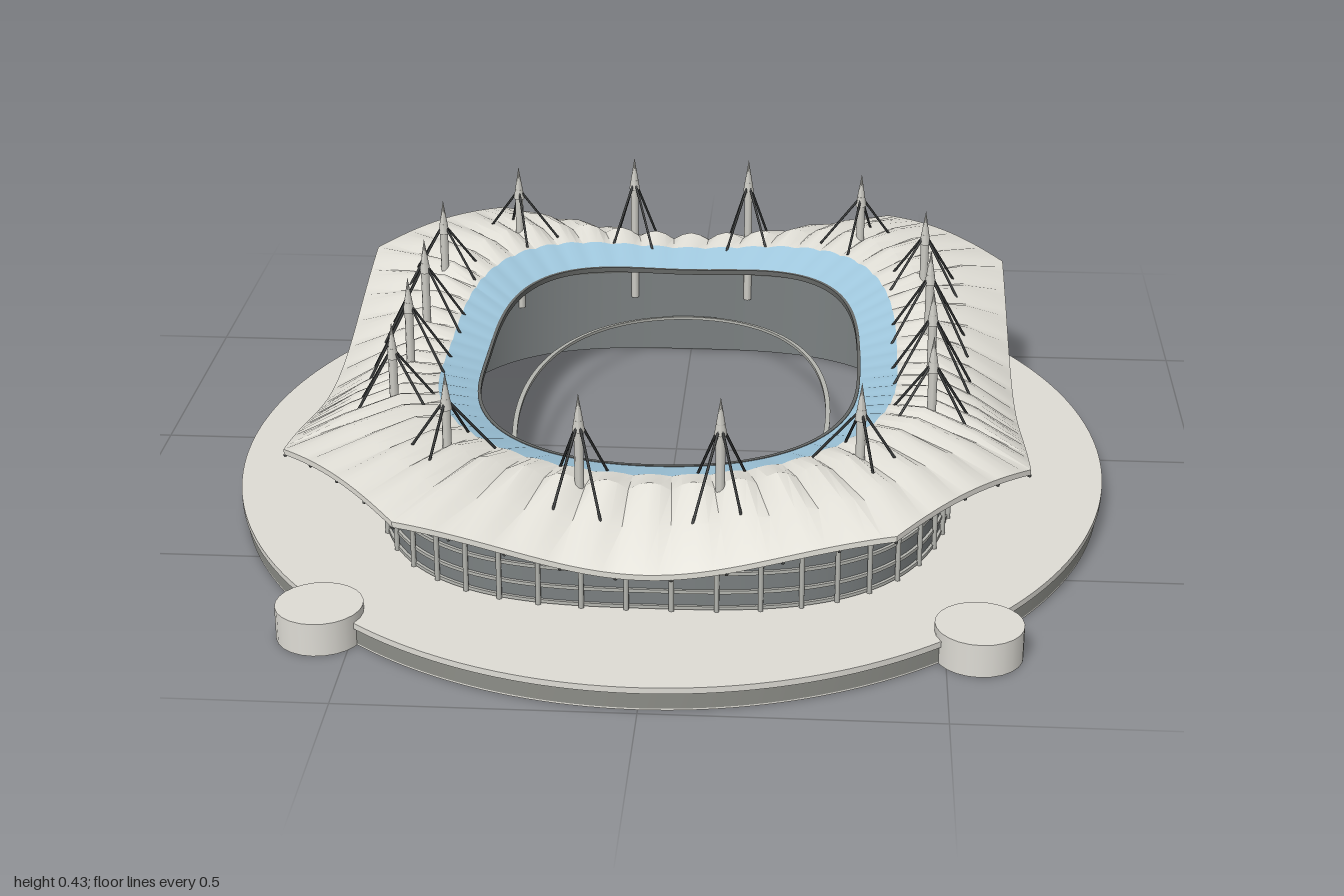
import * as THREE from 'three';
import { toCreasedNormals } from 'three/addons/utils/BufferGeometryUtils.js';

const mat = (name, color, double = false) => {
  const m = new THREE.MeshStandardMaterial({ color });
  m.name = name;
  if (double) m.side = THREE.DoubleSide;
  return m;
};

export function createModel() {
  const M = {
    concrete: mat('pale concrete', 0xdedcd5),
    plinth: mat('plinth grey', 0x8c8d87),
    roof: mat('roof membrane', 0xe0ded6, true),
    glass: mat('blue glazing', 0xa0c8de, true),
    wall: mat('facade panel', 0x7b8081, true),
    trim: mat('facade trim', 0xb6b7b1),
    dark: mat('dark steel', 0x343636),
    rim: mat('rim grey', 0x666866, true),
    mast: mat('mast pale', 0xcdccc5),
  };
  const root = new THREE.Group();
  root.name = 'stadium';
  const body = new THREE.Group();
  body.name = 'stadiumBody';
  body.position.z = 0.105;
  root.add(body);

  const add = (name, geo, material, parent = body) => {
    const mesh = new THREE.Mesh(geo, material);
    mesh.name = name;
    parent.add(mesh);
    return mesh;
  };
  const rod = (name, a, b, r, material, parent = body, sides = 5) => {
    const dir = b.clone().sub(a);
    const mesh = add(name, new THREE.CylinderGeometry(r, r, dir.length(), sides), material, parent);
    mesh.position.copy(a).addScaledVector(dir, 0.5);
    mesh.quaternion.setFromUnitVectors(new THREE.Vector3(0, 1, 0), dir.normalize());
    return mesh;
  };

  // Chamfered roof outline, divided into bays of four strips
  const corners = [[0.64, -0.49], [0.64, 0.49], [0.41, 0.75], [-0.41, 0.75],
    [-0.64, 0.49], [-0.64, -0.49], [-0.41, -0.75], [0.41, -0.75]];
  const bays = [11, 4, 9, 4, 11, 4, 9, 4];
  const SUB = 4;
  const outline = [];
  corners.forEach(([x, z], i) => {
    const [x2, z2] = corners[(i + 1) % 8];
    const n = bays[i] * SUB;
    for (let j = 0; j < n; j++) outline.push([x + (x2 - x) * j / n, z + (z2 - z) * j / n]);
  });

  // Rounded ring (superellipse) along the same rays as the outline
  const oval = (a, b, n, y) => outline.map(([x, z]) => {
    const s = Math.pow(Math.pow(Math.abs(x) / a, n) + Math.pow(Math.abs(z) / b, n), -1 / n);
    return new THREE.Vector3(x * s, y, z * s);
  });

  // Skin between successive rings, smooth except at sharp folds
  const loft = (rings, closed = false) => {
    const pos = [];
    const count = closed ? rings.length : rings.length - 1;
    for (let i = 0; i < count; i++) {
      const a = rings[i], b = rings[(i + 1) % rings.length];
      for (let j = 0; j < a.length; j++) {
        const k = (j + 1) % a.length;
        for (const p of [a[j], b[j], a[k], b[j], b[k], a[k]]) pos.push(p.x, p.y, p.z);
      }
    }
    const g = new THREE.BufferGeometry();
    g.setAttribute('position', new THREE.Float32BufferAttribute(pos, 3));
    return toCreasedNormals(g, 0.45);
  };
  // Closed ring-shaped slab with outer and inner ovals [a, b, n]
  const slab = (o, i, y0, y1) =>
    loft([oval(...o, y0), oval(...o, y1), oval(...i, y1), oval(...i, y0)], true);

  // Base
  const hole = [0.505, 0.61, 3];
  add('baseUnderside', slab([0.803, 0.883, 2], hole, 0, 0.003), M.concrete);
  add('basePlinth', slab([0.803, 0.883, 2], hole, 0.003, 0.034), M.plinth);
  add('baseDeck', slab([0.81, 0.89, 2], hole, 0.034, 0.045), M.concrete);
  for (const sx of [-1, 1]) for (const sz of [-1, 1]) {
    add('cornerPod', new THREE.CylinderGeometry(0.075, 0.075, 0.06, 24), M.concrete)
      .position.set(sx * 0.555, 0.03, sz * 0.67);
  }

  // Entrance platform, open underneath
  add('entranceTop', new THREE.BoxGeometry(0.21, 0.01, 0.24), M.concrete)
    .position.set(0, 0.045, -0.985);
  for (const s of [-1, 1]) {
    add('entranceSide', new THREE.BoxGeometry(0.01, 0.04, 0.24), M.concrete)
      .position.set(s * 0.1, 0.02, -0.985);
  }
  add('entranceEnd', new THREE.BoxGeometry(0.19, 0.04, 0.01), M.concrete)
    .position.set(0, 0.02, -1.1);

  // Facade wall, ledge, bands and mullions
  add('facadeWall', slab([0.52, 0.625, 3], [0.498, 0.603, 3], 0.001, 0.172), M.wall);
  add('facadeLedge', slab([0.56, 0.662, 3], [0.498, 0.603, 3], 0.172, 0.184), M.rim);
  for (const y of [0.05, 0.08, 0.115, 0.15]) {
    add('facadeBand', slab([0.525, 0.63, 3], [0.518, 0.623, 3], y - 0.003, y + 0.003), M.trim);
  }
  const foot = oval(0.526, 0.631, 3, 0.045), head = oval(0.526, 0.631, 3, 0.172);
  for (let k = 0; k < foot.length; k += SUB) {
    rod('facadeMullion', foot[k], head[k], 0.005, M.trim, body, 6);
  }

  // Roof: raised at the corners, dipping along the sides, vaulted in each bay
  const inner = oval(0.42, 0.54, 3, 0);
  const lift = outline.map(([x, z]) => Math.sin(2 * Math.atan2(z / 0.75, x / 0.64)) ** 2);
  const roofRing = (f, y, rise, vault, drop = 0) => outline.map(([x, z], k) => new THREE.Vector3(
    inner[k].x + (x - inner[k].x) * f,
    y + rise * lift[k] + vault * Math.sin(Math.PI * (k % SUB) / SUB) - drop,
    inner[k].z + (z - inner[k].z) * f));
  const profile = [[1, 0.174, 0.102, 0], [0.64, 0.218, 0.068, 0.01],
    [0.26, 0.252, 0.036, 0.015], [0, 0.252, 0.026, 0.004]];
  const upper = profile.map((p) => roofRing(...p));
  const lower = profile.map((p) => roofRing(...p, 0.01));
  add('roofShell', loft([...upper, ...lower.reverse()], true), M.roof);

  // Rafters under the roof valleys
  const under = profile.map((p) => roofRing(...p, 0.012));
  for (let k = 0; k < outline.length; k += SUB) {
    for (let i = 0; i < 3; i++) rod('roofRafter', under[i][k], under[i + 1][k], 0.003, M.rim, body, 4);
  }

  // Glazed inner roof and its rim, rising gently with the corners
  const raised = (a, b, y) => {
    const ring = oval(a, b, 3, y);
    ring.forEach((p, k) => { p.y += 0.015 * lift[k]; });
    return ring;
  };
  add('glassRoof', loft([upper[3], raised(0.35, 0.464, 0.234)]), M.glass);
  add('glassRim', loft([raised(0.352, 0.466, 0.226), raised(0.352, 0.466, 0.236),
    raised(0.346, 0.46, 0.236), raised(0.346, 0.46, 0.226)], true), M.rim);

  // Slim arches inside the bowl, lower towards both ends
  const arch = (a, b, y) => {
    const ring = oval(a, b, 2, y);
    ring.forEach((p) => { p.y += 0.125 - 0.15 * p.z ** 2; });
    return ring;
  };
  add('innerArches', loft([arch(0.298, 0.6, 0), arch(0.298, 0.6, 0.006),
    arch(0.289, 0.591, 0.006), arch(0.289, 0.591, 0)], true), M.trim);

  // Masts with four splayed cables
  const addMast = (x, z, nx, nz, rise) => {
    const g = new THREE.Group();
    g.name = 'roofMast';
    g.position.set(x, 0, z);
    g.rotation.y = Math.atan2(nx, nz);
    body.add(g);
    const top = new THREE.Vector3(0, 0.38, 0);
    rod('mastPole', new THREE.Vector3(0, 0.12, 0), top, 0.008, M.mast, g, 8);
    add('mastTip', new THREE.ConeGeometry(0.011, 0.068, 8), M.mast, g).position.y = 0.394;
    for (const s of [-1, 1]) {
      rod('mastCable', top, new THREE.Vector3(s * 0.042, 0.23 + rise, 0.075), 0.0025, M.dark, g);
      rod('mastCable', top, new THREE.Vector3(s * 0.042, 0.252 + rise, -0.07), 0.0025, M.dark, g);
    }
  };
  for (const sx of [-1, 1]) for (const sz of [-1, 1]) {
    addMast(sx * 0.118, sz * 0.598, 0, sz, 0);
    addMast(sx * 0.35, sz * 0.525, sx * 0.75, sz * 0.66, 0.03);
    addMast(sx * 0.48, sz * 0.1, sx, 0, 0);
    addMast(sx * 0.475, sz * 0.315, sx, 0, 0.015);
  }
  return root;
}
